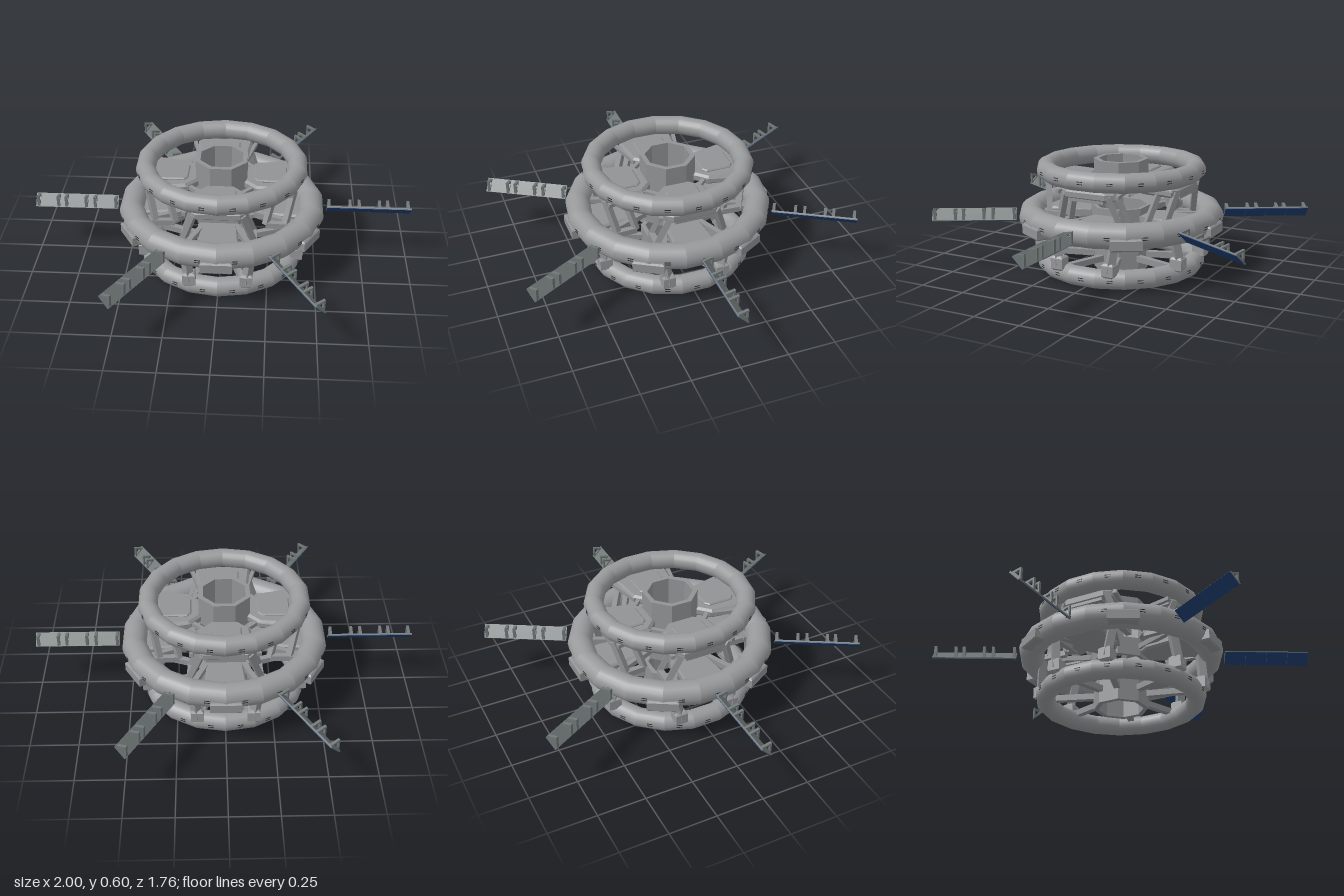
import * as THREE from 'three';

const mat = (name, color) => {
  const m = new THREE.MeshStandardMaterial({ color });
  m.name = name;
  return m;
};

export function createModel() {
  const hullGrey = mat('hull grey', 0x98999b);
  const frameGrey = mat('frame grey', 0x909294);
  const panelGrey = mat('panel grey', 0x6f7676);
  const navy = mat('navy cells', 0x1d3c6e);
  const dark = mat('dark slots', 0x2a2b2d);

  const root = new THREE.Group();
  root.name = 'ringStation';

  const add = (parent, name, geo, material, x = 0, y = 0, z = 0) => {
    const m = new THREE.Mesh(geo, material);
    m.name = name;
    m.position.set(x, y, z);
    parent.add(m);
    return m;
  };
  const group = (name, angle) => {
    const g = new THREE.Group();
    g.name = name;
    g.rotation.y = angle;
    root.add(g);
    return g;
  };
  const box = (w, h, d) => new THREE.BoxGeometry(w, h, d);
  const up = new THREE.Vector3(0, 1, 0);
  // square beam between two points of its group
  const strut = (parent, name, a, b, w) => {
    const p = new THREE.Vector3(...a), q = new THREE.Vector3(...b);
    const m = add(parent, name, box(w, w, p.distanceTo(q)), frameGrey);
    m.quaternion.setFromRotationMatrix(new THREE.Matrix4().lookAt(q, p, up));
    m.position.addVectors(p, q).multiplyScalar(0.5);
  };
  const outline = pts => pts.map(p => new THREE.Vector2(...p));
  // horizontal slab from an outline, standing on y = 0
  const slab = (pts, height, hole, bevel = 0) => {
    const shape = new THREE.Shape(outline(pts));
    if (hole) shape.holes.push(new THREE.Path(outline(hole)));
    const geo = new THREE.ExtrudeGeometry(shape, {
      depth: height - 2 * bevel, bevelEnabled: bevel > 0,
      bevelSize: bevel, bevelThickness: bevel, bevelOffset: -bevel, bevelSegments: 1,
    });
    return geo.translate(0, 0, bevel).rotateX(-Math.PI / 2);
  };
  const octagon = r => Array.from({ length: 8 }, (_, i) => {
    const a = (i + 0.5) * Math.PI / 4;
    return [r * Math.cos(a), r * Math.sin(a)];
  });

  // straight tube section at distance R, its ends mitred to meet its neighbours
  const miter = Math.tan(Math.PI / 18);
  const tubeSection = (R, r) => {
    const geo = new THREE.CylinderGeometry(r, r, 1, 20, 1, true).rotateX(Math.PI / 2).translate(R, 0, 0);
    const p = geo.attributes.position;
    for (let i = 0; i < p.count; i++)
      p.setZ(i, Math.sign(p.getZ(i)) * p.getX(i) * miter);
    return geo;
  };

  // three tubular rings of 18 sections, each section with a pair of slots
  for (const [name, y, R, r] of [
    ['lowerRing', 0.054, 0.391, 0.05],
    ['middleRing', 0.302, 0.471, 0.065],
    ['upperRing', 0.547, 0.391, 0.05],
  ]) {
    const section = tubeSection(R, r);
    for (let i = 0; i < 18; i++) {
      const g = group(name + 'Section', i * Math.PI / 9);
      add(g, name, section, hullGrey, 0, y, 0);
      for (const dy of [-0.006, 0.006])
        add(g, 'slot', box(0.005, 0.003, 0.03), dark, R + r - 0.001, y + dy, 0);
    }
  }

  // octagonal hubs
  for (const [name, y, h, r, inner] of [
    ['lowerHub', 0.0, 0.145, 0.144, 0.118],
    ['middleHub', 0.25, 0.1, 0.158, 0.138],
    ['upperHub', 0.44, 0.157, 0.144, 0.118],
  ]) add(root, name, slab(octagon(r), h, octagon(inner)), frameGrey, 0, y, 0);

  // four bays: decks, legs and feet
  for (let k = 0; k < 4; k++) {
    const bay = group('bay', k * Math.PI / 2);
    const deck = [[0.12, -0.07], [0.18, -0.13], [0.36, -0.15], [0.39, -0.11],
      [0.39, 0.11], [0.36, 0.15], [0.18, 0.13], [0.12, 0.07]];
    add(bay, 'upperDeck', slab(deck, 0.05, null, 0.012), frameGrey, 0, 0.447, 0);
    const panel = [[0.17, -0.06], [0.19, -0.085], [0.32, -0.085], [0.34, -0.06],
      [0.34, 0.06], [0.32, 0.085], [0.19, 0.085], [0.17, 0.06]];
    add(bay, 'deckPanel', slab(panel, 0.014, null, 0.006), frameGrey, 0, 0.494, 0);
    add(bay, 'deckLintel', box(0.05, 0.025, 0.2), frameGrey, 0.36, 0.45, 0);
    const floor = [[0.14, -0.05], [0.2, -0.09], [0.42, -0.11], [0.42, 0.11], [0.2, 0.09], [0.14, 0.05]];
    add(bay, 'middleDeck', slab(floor, 0.05, null, 0.01), frameGrey, 0, 0.265, 0);

    for (const s of [-1, 1]) {
      strut(bay, 'upperOuterLeg', [0.375, 0.475, s * 0.12], [0.335, 0.3, s * 0.18], 0.03);
      strut(bay, 'upperInnerLeg', [0.28, 0.47, s * 0.12], [0.235, 0.3, s * 0.175], 0.028);
      strut(bay, 'legTie', [0.235, 0.3, s * 0.175], [0.42, 0.3, s * 0.185], 0.03);
      strut(bay, 'middleBrace', [0.15, 0.3, s * 0.06], [0.43, 0.3, s * 0.18], 0.028);
      strut(bay, 'deckFrame', [0.17, 0.475, s * 0.12], [0.375, 0.475, s * 0.17], 0.02);
      strut(bay, 'lowerLeg', [0.385, 0.29, s * 0.17], [0.41, 0.1, s * 0.145], 0.04);
      add(bay, 'foot', slab([[-0.033, -0.033], [0.033, -0.033], [0.033, 0.033], [-0.033, 0.033]],
        0.075, null, 0.01), hullGrey, 0.4, 0.075, s * 0.145);
      strut(bay, 'lowerArm', [0.12, 0.075, s * 0.045], [0.37, 0.08, s * 0.13], 0.032);
    }

    // short frame joining neighbouring decks
    const corner = group('corner', (k + 0.5) * Math.PI / 2);
    strut(corner, 'cornerFrame', [0.19, 0.47, -0.05], [0.19, 0.47, 0.05], 0.022);
  }

  // six housings on the middle ring, halfway between the wings
  for (let k = 0; k < 6; k++) {
    const g = group('ringHousing', (k + 0.5) * Math.PI / 3);
    const profile = [[0.47, -0.08], [0.549, -0.08], [0.549, 0.08], [0.47, 0.08]];
    add(g, 'housing', slab(profile, 0.062, null, 0.008), frameGrey, 0, 0.242, 0);
  }

  // triangular bracket, lying across a wing
  const tri = new THREE.Shape(outline([[-0.036, 0], [0.036, 0], [-0.008, 0.046]]));
  tri.holes.push(new THREE.Path(outline([[-0.018, 0.007], [0.018, 0.007], [-0.006, 0.032]])));
  const bracketGeo = new THREE.ExtrudeGeometry(tri, { depth: 0.015, bevelEnabled: false })
    .translate(0, 0, -0.0075).rotateY(Math.PI / 2);

  // six tilted wings with solar cells underneath
  for (let k = 0; k < 6; k++) {
    const arm = group('wing', k * Math.PI / 3);
    const wing = new THREE.Group();
    wing.name = 'wingPanel';
    wing.position.y = 0.297;
    wing.rotation.x = -Math.PI / 4;
    arm.add(wing);
    add(wing, 'wingBacking', box(0.444, 0.008, 0.076), panelGrey, 0.778, 0.002, 0);
    for (let i = 0; i < 4; i++)
      add(wing, 'solarCell', box(0.1095, 0.004, 0.075), navy, 0.6115 + i * 0.111, -0.003, 0);
    for (const x of [0.567, 0.679, 0.727, 0.834, 0.877, 0.984])
      add(wing, 'bracket', bracketGeo, panelGrey, x, 0.005, 0);
  }
  return root;
}
